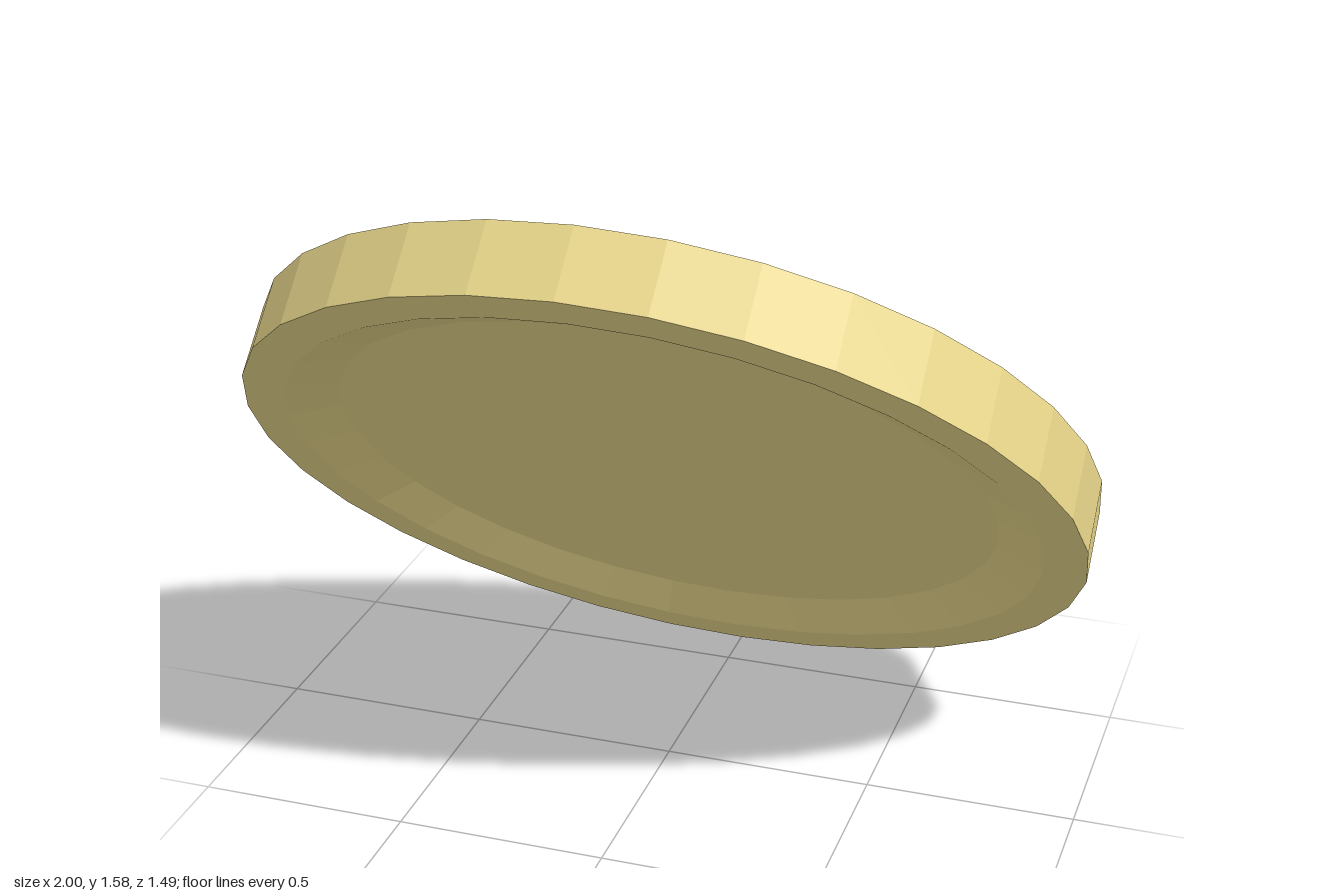
import * as THREE from 'three';

const RADIUS = 1, HALF = 0.0875, TILT = -THREE.MathUtils.degToRad(47);
const RIM = 0.9, FLOOR = 0.785, DEPTH = 0.05, SIDES = 32;

export function createModel() {
  const group = new THREE.Group();
  group.name = 'coin';

  const gold = new THREE.MeshStandardMaterial({ color: 0xe6d58a, flatShading: true });

  // Disc with a raised rim and a bevelled recess on both faces
  const upper = [[RADIUS, HALF], [RIM, HALF], [FLOOR, HALF - DEPTH], [0, HALF - DEPTH]];
  const lower = upper.map(([r, y]) => [r, -y]).reverse();
  const profile = [...lower, ...upper].map(([r, y]) => new THREE.Vector2(r, y));

  const disc = new THREE.Mesh(new THREE.LatheGeometry(profile, SIDES), gold);
  disc.name = 'coinDisc';

  // Tilted so the upper face looks up and back, lowest edge on the ground
  disc.rotation.x = TILT;
  disc.position.y = RADIUS * Math.sin(-TILT) + HALF * Math.cos(TILT);
  group.add(disc);

  return group;
}
